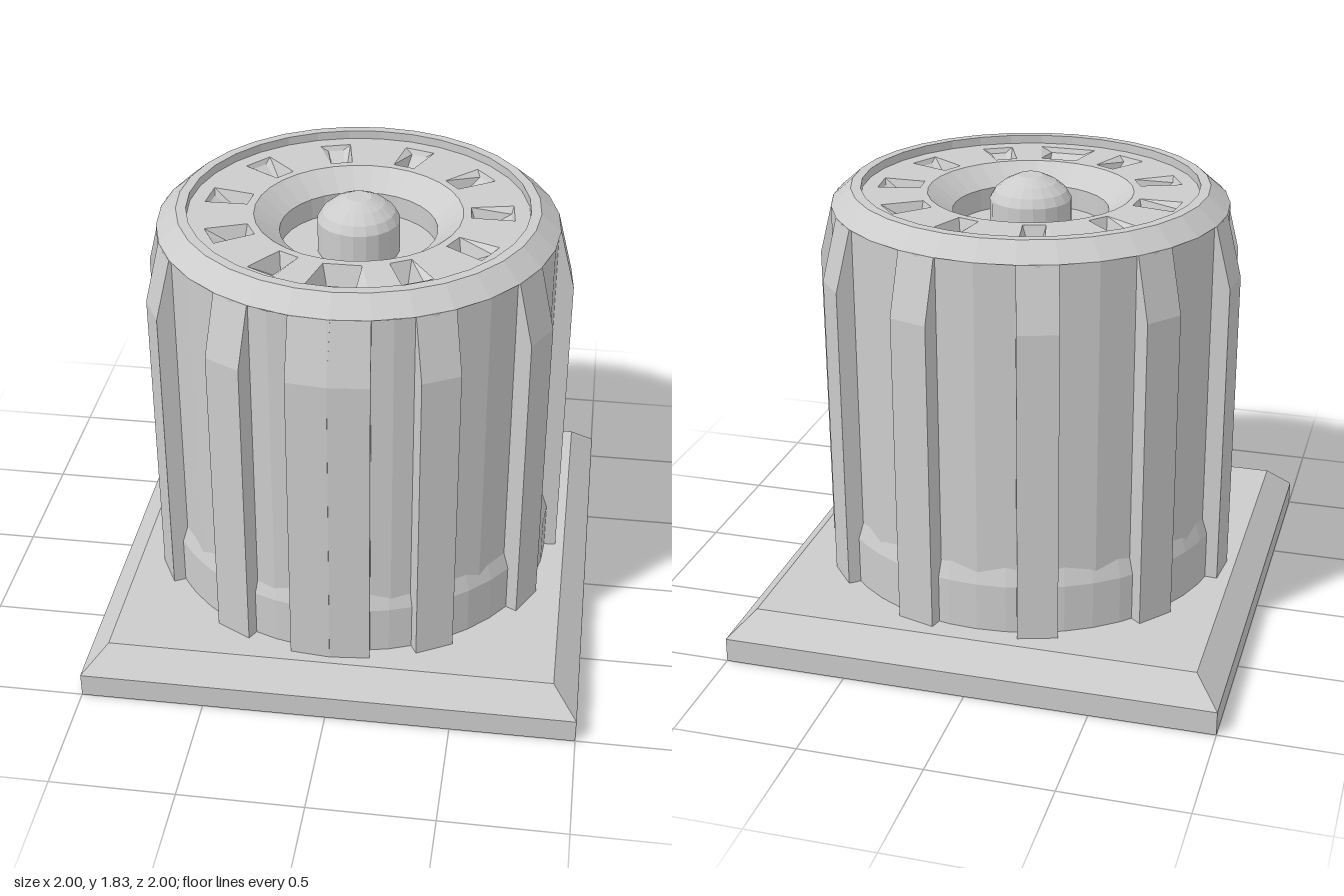
import * as THREE from 'three';

const material = new THREE.MeshStandardMaterial({ color: 0xcccccc, flatShading: true, side: THREE.DoubleSide });
const rad = THREE.MathUtils.degToRad;
const SIDES = 32, DISC_Y = 1.765;
const V = (x, y) => new THREE.Vector2(x, y);

// Angles are measured from the front (+z)
const polar = (r, a) => V(r * Math.sin(a), -r * Math.cos(a));

function add(parent, name, geometry) {
  const mesh = new THREE.Mesh(geometry, material);
  mesh.name = name;
  parent.add(mesh);
  return mesh;
}

const lathe = (points, sides = SIDES) =>
  new THREE.LatheGeometry(points.map(([r, y]) => V(r, y)), sides);

const circle = (r) =>
  Array.from({ length: SIDES }, (_, i) => polar(r, (i / SIDES) * Math.PI * 2));

// Five grips on each side, evenly stepped round to the back
const gripAngles = [];
for (let i = 0; i < 5; i++) {
  const a = rad(163 - i * 33.6);
  gripAngles.push(a, -a);
}

// Slot opening: radial extent and half widths; the front slot is wider
function slotCorners(wide) {
  const [o, i] = wide ? [0.118, 0.075] : [0.064, 0.045];
  return [[0.615, -o], [0.615, o], [0.445, i], [0.445, -i]];
}

// Tapered pit with a floor that slopes down towards the centre
function pitGeometry(wide) {
  const [o, i] = wide ? [0.07, 0.055] : [0.032, 0.018];
  const top = slotCorners(wide).map(([r, t]) => [r, DISC_Y, t]);
  const floor = [[0.605, 1.745, -o], [0.605, 1.745, o], [0.475, 1.67, i], [0.475, 1.67, -i]];
  const geometry = new THREE.BufferGeometry();
  const index = [4, 5, 6, 4, 6, 7];
  for (let k = 0; k < 4; k++) {
    const n = (k + 1) % 4;
    index.push(k, n, n + 4, k, n + 4, k + 4);
  }
  geometry.setAttribute('position', new THREE.Float32BufferAttribute([...top, ...floor].flat(), 3));
  geometry.setIndex(index);
  const flat = geometry.toNonIndexed();
  flat.computeVertexNormals();
  return flat;
}

export function createModel() {
  const model = new THREE.Group();
  model.name = 'controlKnob';

  // Square plate with a chamfered top edge
  const plate = new THREE.Group();
  plate.name = 'basePlate';
  model.add(plate);
  add(plate, 'plateSlab', new THREE.BoxGeometry(2, 0.1, 2)).position.y = 0.05;
  const bevel = new THREE.CylinderGeometry(0.9 * Math.SQRT2, Math.SQRT2, 0.1, 4);
  bevel.rotateY(Math.PI / 4);
  add(plate, 'plateChamfer', bevel).position.y = 0.15;

  // Faceted wall: a corner at each grip and in the middle of each gap
  const sorted = [0, ...gripAngles.map((a) => (a + Math.PI * 2) % (Math.PI * 2))].sort((a, b) => a - b);
  const outline = [];
  sorted.forEach((a, i) => {
    const next = i + 1 < sorted.length ? sorted[i + 1] : Math.PI * 2;
    const shift = i === 0 ? rad(2.7) : i === sorted.length - 1 ? -rad(2.7) : 0;
    outline.push(polar(0.8, a), polar(0.8, (a + next) / 2 + shift));
  });
  const wall = new THREE.ExtrudeGeometry(new THREE.Shape(outline), { depth: 1.4, bevelEnabled: false });
  wall.rotateX(-Math.PI / 2);
  // Open the top of the wall so that the recesses stay clear
  const sides = new THREE.BufferGeometry();
  const group = wall.groups[1];
  for (const key of ['position', 'normal']) {
    const data = wall.attributes[key].array.slice(group.start * 3, (group.start + group.count) * 3);
    sides.setAttribute(key, new THREE.BufferAttribute(data, 3));
  }
  sides.translate(0, 0.33, 0);
  add(model, 'knobWall', sides);

  // Slightly wider skirt at the foot
  add(model, 'skirt', lathe([[0.815, 0.2], [0.815, 0.4], [0.78, 0.51]], 44));

  // Grip ribs, with a double rib as the pointer at the front
  const ribShape = new THREE.Shape([V(0.74, 0.2), V(0.86, 0.2), V(0.86, 1.48), V(0.797, 1.73), V(0.74, 1.73)]);
  const ribGeometry = new THREE.ExtrudeGeometry(ribShape, { depth: 0.16, bevelEnabled: false });
  ribGeometry.translate(0, 0, -0.08);
  for (const a of [...gripAngles, rad(5.33), -rad(5.33)]) {
    const pointer = Math.abs(a) < 0.1;
    add(model, pointer ? 'pointerRib' : 'gripRib', ribGeometry).rotation.y = a - Math.PI / 2;
  }

  // Chamfered shoulder and raised rim
  add(model, 'topRim', lathe([[0.8, 1.73], [0.72, 1.8], [0.68, 1.8], [0.68, DISC_Y]]));

  // Recessed disc pierced by the central well and one slot per rib
  const discShape = new THREE.Shape(circle(0.68));
  discShape.holes.push(new THREE.Path(circle(0.415)));
  const narrowPit = pitGeometry(false), widePit = pitGeometry(true);
  for (const a of [0, ...gripAngles]) {
    const corners = slotCorners(a === 0).map(([r, t]) =>
      V(r * Math.sin(a) - t * Math.cos(a), -r * Math.cos(a) - t * Math.sin(a)));
    discShape.holes.push(new THREE.Path(corners));
    add(model, a === 0 ? 'pointerSlot' : 'slot', a === 0 ? widePit : narrowPit).rotation.y = a - Math.PI / 2;
  }
  const disc = new THREE.ShapeGeometry(discShape);
  disc.rotateX(-Math.PI / 2);
  add(model, 'topDisc', disc).position.y = DISC_Y;

  // Funnel-shaped well with a domed post in its centre
  add(model, 'centreWell', lathe([[0.415, DISC_Y], [0.315, 1.69], [0.315, 1.6], [0, 1.6]]));
  add(model, 'centrePost', lathe(
    [[0.165, 1.6], [0.165, 1.735], [0.145, 1.77], [0.105, 1.803], [0.05, 1.83], [0, 1.83]], 20));

  return model;
}
